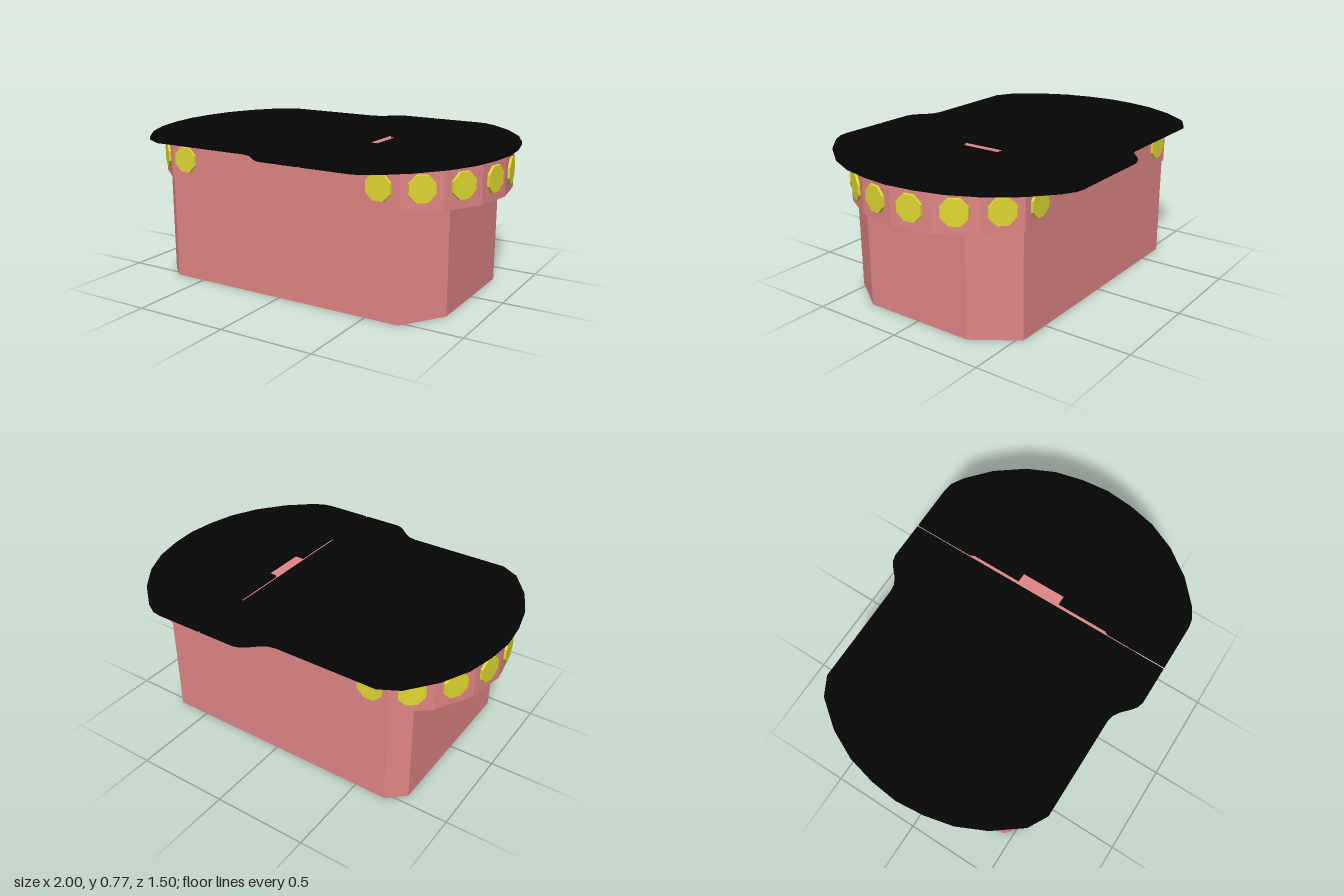
import * as THREE from 'three';

const mat = (color) => new THREE.MeshStandardMaterial({ color, flatShading: true });
const bodyMat = mat(0xe08585);
const plateMat = mat(0x050505);
const lampMat = mat(0xe0d832);

// Upright prism from half an outline [x, z >= 0], mirrored across z = 0
function prism(name, half, y0, y1, material) {
  const mirrored = half.filter((p) => p[1] > 0).reverse().map(([x, z]) => [x, -z]);
  const shape = new THREE.Shape([...half, ...mirrored].map(([x, z]) => new THREE.Vector2(x, z)));
  const geo = new THREE.ExtrudeGeometry(shape, { depth: y1 - y0, bevelEnabled: false });
  geo.rotateX(-Math.PI / 2).translate(0, y0, 0);
  const mesh = new THREE.Mesh(geo, material);
  mesh.name = name;
  return mesh;
}

export function createModel() {
  const model = new THREE.Group();
  model.name = 'cabinet';

  // Lower box with cut corners, wider cuts on the +x end
  model.add(prism('base', [[0.83, 0.31], [0.68, 0.53], [-0.67, 0.53], [-0.76, 0.45]], 0, 0.555, bodyMat));

  // Upper band with faceted round ends
  const rightEnd = [[0.98, 0], [0.945, 0.21], [0.835, 0.4], [0.68, 0.54]];
  const leftEnd = [[-0.975, 0], [-0.94, 0.21], [-0.835, 0.4], [-0.67, 0.54]];
  model.add(prism('band', [...rightEnd, ...[...leftEnd].reverse()], 0.55, 0.757, bodyMat));

  // Top in two plates, parted by a seam with a slot in the middle
  const y0 = 0.756, y1 = 0.77;
  model.add(prism('largeTopPlate', [
    [0.266, 0.75], [0.06, 0.75], [0.025, 0.74], [-0.005, 0.717], [-0.045, 0.68], [-0.08, 0.658], [-0.12, 0.65],
    [-0.67, 0.65], [-0.77, 0.595], [-0.88, 0.45], [-0.95, 0.3], [-0.985, 0.15], [-1, 0],
  ], y0, y1, plateMat));
  model.add(prism('smallTopPlate', [
    [1, 0], [0.985, 0.15], [0.95, 0.3], [0.88, 0.45], [0.77, 0.595], [0.645, 0.705], [0.58, 0.742], [0.53, 0.75],
    [0.276, 0.75], [0.276, 0.42], [0.287, 0.4], [0.287, 0.123], [0.338, 0.123],
  ], y0, y1, plateMat));

  // Octagonal lamps, one on each facet and two on each long side
  const lamps = new THREE.Group();
  lamps.name = 'lamps';
  const lampGeo = new THREE.CylinderGeometry(0.07, 0.074, 0.024, 8);
  lampGeo.rotateY(Math.PI / 8).rotateX(Math.PI / 2);
  const addLamp = (x, z, nx, nz) => {
    for (const s of [1, -1]) {
      const lamp = new THREE.Mesh(lampGeo, lampMat);
      lamp.name = 'lamp';
      lamp.position.set(x, 0.66, s * z);
      lamp.rotation.y = Math.atan2(nx, s * nz);
      lamps.add(lamp);
    }
  };
  for (const end of [rightEnd, leftEnd]) {
    const side = Math.sign(end[0][0]);
    for (let i = 0; i < 3; i++) {
      const [ax, az] = end[i], [bx, bz] = end[i + 1];
      addLamp((ax + bx) / 2, (az + bz) / 2, side * (bz - az), Math.abs(bx - ax));
    }
    addLamp(side * 0.573, 0.54, 0, 1);
  }
  model.add(lamps);
  return model;
}
